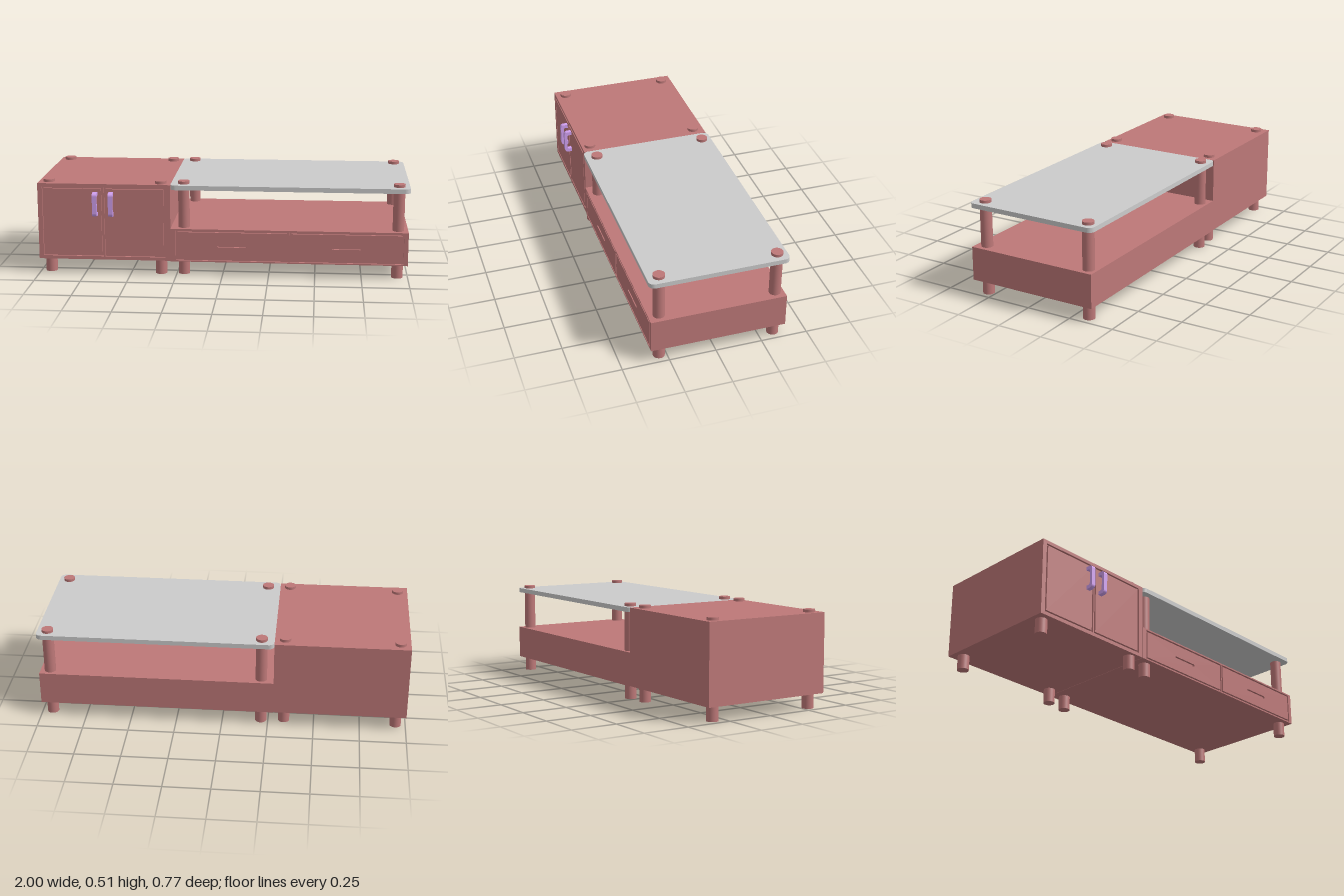
import * as THREE from 'three';

const wood = new THREE.MeshStandardMaterial({ color: 0xbd7878 });
const grey = new THREE.MeshStandardMaterial({ color: 0xcccccc });
const lilac = new THREE.MeshStandardMaterial({ color: 0xd0a0f0 });

const BACK = -0.378, FRONT = 0.345, INSET = 0.012, GAP = 0.009;

// Rounded rectangle (r = 0 gives sharp corners) added to a Shape or Path
function rect(target, x0, y0, x1, y1, r = 0) {
  target.moveTo(x0 + r, y0).lineTo(x1 - r, y0);
  if (r) target.absarc(x1 - r, y0 + r, r, -Math.PI / 2, 0);
  target.lineTo(x1, y1 - r);
  if (r) target.absarc(x1 - r, y1 - r, r, 0, Math.PI / 2);
  target.lineTo(x0 + r, y1);
  if (r) target.absarc(x0 + r, y1 - r, r, Math.PI / 2, Math.PI);
  target.lineTo(x0, y0 + r);
  if (r) target.absarc(x0 + r, y0 + r, r, Math.PI, Math.PI * 1.5);
  return target;
}

function add(parent, name, geometry, material) {
  const mesh = new THREE.Mesh(geometry, material);
  mesh.name = name;
  parent.add(mesh);
  return mesh;
}

function extrude(shape, depth) {
  return new THREE.ExtrudeGeometry(shape, { depth, bevelEnabled: false, curveSegments: 8 });
}

// Closed carcass whose front frame holds panels set in narrow grooves
function casework(name, [x0, y0, x1, y1], front, panelName, panels, slot) {
  const group = new THREE.Group();
  group.name = name;
  const depth = front - INSET - BACK;
  const body = add(group, name + 'Body', new THREE.BoxGeometry(x1 - x0, y1 - y0, depth), wood);
  body.position.set((x0 + x1) / 2, (y0 + y1) / 2, BACK + depth / 2);

  const frame = rect(new THREE.Shape(), x0, y0, x1, y1);
  for (const [a, b, c, d] of panels) {
    frame.holes.push(rect(new THREE.Path(), a, b, c, d));
    const shape = rect(new THREE.Shape(), a + GAP, b + GAP, c - GAP, d - GAP);
    if (slot) {
      const mx = (a + c) / 2, my = (b + d) / 2;
      shape.holes.push(rect(new THREE.Path(), mx - 0.078, my - 0.007, mx + 0.078, my + 0.007, 0.006));
    }
    add(group, panelName, extrude(shape, INSET), wood).position.z = front - INSET;
  }
  add(group, name + 'Frame', extrude(frame, INSET), wood).position.z = front - INSET;
  return group;
}

export function createModel() {
  const model = new THREE.Group();
  model.name = 'mediaConsole';

  // Tall two-door cabinet and low two-drawer unit
  model.add(casework('cabinet', [-1, 0.08, -0.28, 0.5], FRONT, 'door',
    [[-0.975, 0.098, -0.645, 0.482], [-0.638, 0.098, -0.308, 0.482]], false));
  model.add(casework('drawerUnit', [-0.28, 0.078, 0.996, 0.26], FRONT + 0.002, 'drawer',
    [[-0.252, 0.085, 0.358, 0.252], [0.363, 0.085, 0.973, 0.252]], true));

  // Shelf top with rounded corners
  const top = add(model, 'shelfTop', extrude(rect(new THREE.Shape(), -0.28, -0.353, 1, 0.385, 0.03), 0.025), grey);
  top.rotation.x = -Math.PI / 2;
  top.position.y = 0.475;

  // Posts run from the floor up through the tops
  const post = new THREE.CylinderGeometry(0.031, 0.031, 0.515, 32);
  const spots = [
    [-0.945, 0.287], [-0.336, 0.298], [-0.945, -0.319], [-0.336, -0.319],
    [-0.211, 0.29], [0.943, 0.29], [-0.211, -0.331], [0.943, -0.331],
  ];
  for (const [x, z] of spots) add(model, 'post', post, wood).position.set(x, 0.2575, z);

  // Bracket door handles: rounded loop open towards the door
  const bow = new THREE.Shape();
  bow.moveTo(0, 0.327).lineTo(0.023, 0.327).absarc(0.023, 0.345, 0.018, -Math.PI / 2, 0);
  bow.lineTo(0.041, 0.439).absarc(0.023, 0.439, 0.018, 0, Math.PI / 2);
  bow.lineTo(0, 0.457).lineTo(0, 0.437).lineTo(0.015, 0.437);
  bow.absarc(0.015, 0.427, 0.01, Math.PI / 2, 0, true);
  bow.lineTo(0.025, 0.357).absarc(0.015, 0.357, 0.01, 0, -Math.PI / 2, true);
  bow.lineTo(0, 0.347);
  const bowGeometry = extrude(bow, 0.024).rotateY(-Math.PI / 2);
  for (const x of [-0.673, -0.587]) {
    add(model, 'doorHandle', bowGeometry, lilac).position.set(x, 0, FRONT);
  }
  return model;
}
